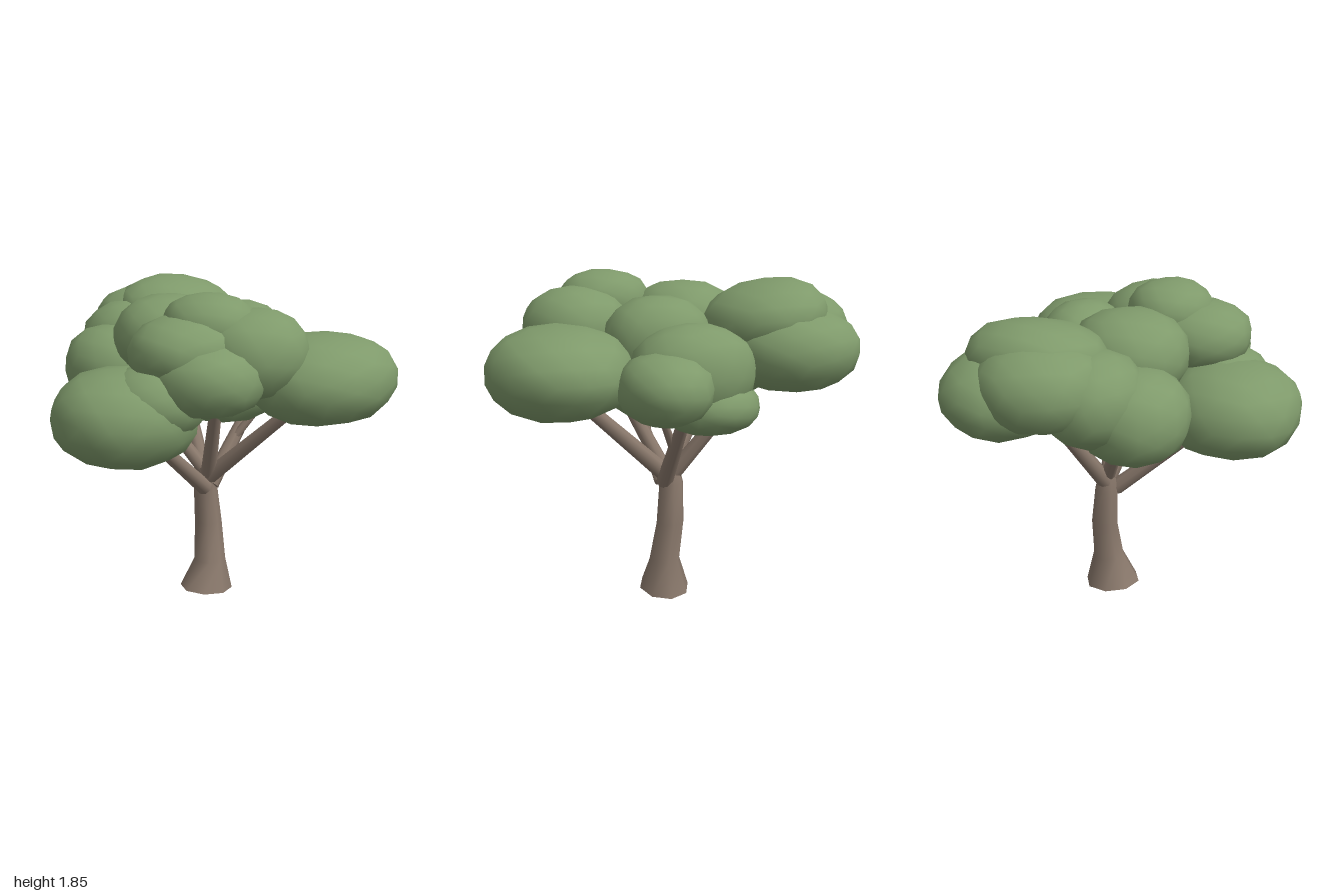
import * as THREE from 'three';
import { mergeVertices } from 'three/addons/utils/BufferGeometryUtils.js';

const V = (p) => new THREE.Vector3(...p);

// Smooth-shaded leaf clump, a little boxy from the side and slightly lumpy
function leafClump(center, radii, tilt, index, material) {
  let geo = new THREE.IcosahedronGeometry(1, 2);
  geo.rotateZ(index * 0.7);
  geo.rotateY(index * 1.3);
  geo.deleteAttribute('uv');
  geo.deleteAttribute('normal');
  geo = mergeVertices(geo, 1e-3);
  const pos = geo.attributes.position;
  const p = 2.3;
  for (let i = 0; i < pos.count; i++) {
    const v = new THREE.Vector3().fromBufferAttribute(pos, i);
    const box = Math.pow(Math.pow(Math.hypot(v.x, v.z), p) + Math.pow(Math.abs(v.y), p), -1 / p);
    const lump = 1.02 + 0.02 * Math.sin(v.x * 5 + index * 2) * Math.cos(v.z * 5 + v.y * 3 + index);
    v.multiplyScalar(box * lump);
    pos.setXYZ(i, v.x * radii[0], v.y * radii[1], v.z * radii[2]);
  }
  geo.computeVertexNormals();
  const mesh = new THREE.Mesh(geo, material);
  mesh.position.set(...center);
  mesh.rotation.x = tilt;
  mesh.name = 'leafClump' + (index + 1);
  return mesh;
}

// Tapered limb between two points
function limb(name, from, to, r0, r1, material) {
  const a = V(from), b = V(to);
  const dir = b.clone().sub(a);
  const mesh = new THREE.Mesh(new THREE.CylinderGeometry(r1, r0, dir.length(), 8), material);
  mesh.position.copy(a).addScaledVector(dir, 0.5);
  mesh.quaternion.setFromUnitVectors(new THREE.Vector3(0, 1, 0), dir.normalize());
  mesh.name = name;
  return mesh;
}

// Trunk, open at the foot: rings of [x, y, z, radius x, radius z]
function trunk(material) {
  const rings = [
    [0.08, 0.02, -0.005, 0.165, 0.145],
    [0.105, 0.2, 0, 0.095, 0.09],
    [0.12, 0.43, -0.03, 0.08, 0.08],
    [0.105, 0.66, -0.04, 0.067, 0.07],
    [0.1, 0.78, -0.03, 0.045, 0.05],
  ];
  let geo = new THREE.CylinderGeometry(1, 1, 1, 8, rings.length - 1, true);
  const pos = geo.attributes.position;
  for (let i = 0; i < pos.count; i++) {
    const level = Math.round((pos.getY(i) + 0.5) * (rings.length - 1));
    const [x, y, z, rx, rz] = rings[level];
    const px = pos.getX(i);
    // The foot is cut at a slight slant
    const slant = level === 0 ? -px * 0.018 : 0;
    pos.setXYZ(i, x + px * rx, y + slant, z + pos.getZ(i) * rz);
  }
  geo.deleteAttribute('uv');
  geo.deleteAttribute('normal');
  geo = mergeVertices(geo);
  geo.computeVertexNormals();
  const mesh = new THREE.Mesh(geo, material);
  mesh.name = 'trunk';
  return mesh;
}

export function createModel() {
  const leaf = new THREE.MeshStandardMaterial({ color: 0x7f9a6b });
  leaf.name = 'leafGreen';
  const bark = new THREE.MeshStandardMaterial({ color: 0x8a796c, side: THREE.DoubleSide });
  bark.name = 'barkBrown';

  const model = new THREE.Group();
  model.name = 'tree';

  // Trunk and branches
  const wood = new THREE.Group();
  wood.name = 'wood';
  wood.add(trunk(bark));
  const limbs = [
    ['leftBranch', [0.06, 0.66, 0], [-0.52, 1.16, 0.08], 0.048, 0.032],
    ['frontBranch', [0.1, 0.72, 0.0], [0.26, 1.25, 0.56], 0.05, 0.034],
    ['frontLeftBranch', [0.09, 0.74, 0], [-0.13, 1.36, 0.3], 0.045, 0.03],
    ['rightBranch', [0.11, 0.67, 0], [0.56, 1.22, -0.01], 0.05, 0.03],
    ['backBranch', [0.1, 0.7, -0.04], [0.33, 1.42, -0.55], 0.048, 0.03],
    ['backLeftBranch', [0.1, 0.74, -0.03], [-0.12, 1.25, -0.38], 0.042, 0.028],
    ['leftTwig', [-0.2, 0.9, 0.03], [-0.32, 1.08, -0.06], 0.026, 0.018],
    ['rightTwig', [0.3, 0.91, 0], [0.46, 1.16, 0.12], 0.026, 0.018],
  ];
  for (const [name, a, b, r0, r1] of limbs) wood.add(limb(name, a, b, r0, r1, bark));
  model.add(wood);

  // Canopy clumps: [centre], [radii], tilt that lifts the back
  const canopy = new THREE.Group();
  canopy.name = 'canopy';
  const clumps = [
    // front
    [[0.335, 1.375, 0.62], [0.435, 0.235, 0.38], 0],
    // left
    [[-0.59, 1.225, 0.07], [0.375, 0.25, 0.385], 0],
    [[-0.5, 1.32, 0.22], [0.27, 0.185, 0.265], 0],
    // front left
    [[-0.34, 1.56, 0.27], [0.3, 0.185, 0.28], 0],
    [[-0.31, 1.44, 0.42], [0.3, 0.19, 0.28], 0],
    [[-0.05, 1.54, 0.46], [0.305, 0.23, 0.295], 0],
    [[-0.18, 1.68, 0.28], [0.24, 0.165, 0.255], 0],
    // middle
    [[-0.07, 1.56, -0.15], [0.315, 0.225, 0.3], 0],
    [[0.27, 1.5, 0.08], [0.24, 0.24, 0.29], 0],
    [[0.15, 1.28, 0.08], [0.36, 0.2, 0.3], 0],
    // right
    [[0.55, 1.38, -0.03], [0.26, 0.245, 0.325], 0],
    [[0.67, 1.33, 0.15], [0.285, 0.18, 0.24], 0],
    [[0.56, 1.21, -0.11], [0.26, 0.145, 0.26], 0],
    // back
    [[0.31, 1.62, -0.5], [0.365, 0.19, 0.33], 0.2],
    [[0.23, 1.54, -0.67], [0.33, 0.22, 0.32], 0],
    [[0.45, 1.46, -0.61], [0.32, 0.215, 0.36], 0],
    // back left
    [[-0.19, 1.35, -0.48], [0.29, 0.24, 0.3], 0],
    [[0.0, 1.46, -0.57], [0.27, 0.235, 0.3], 0],
  ];
  clumps.forEach(([c, r, tilt], i) => canopy.add(leafClump(c, r, tilt, i, leaf)));
  model.add(canopy);

  return model;
}
